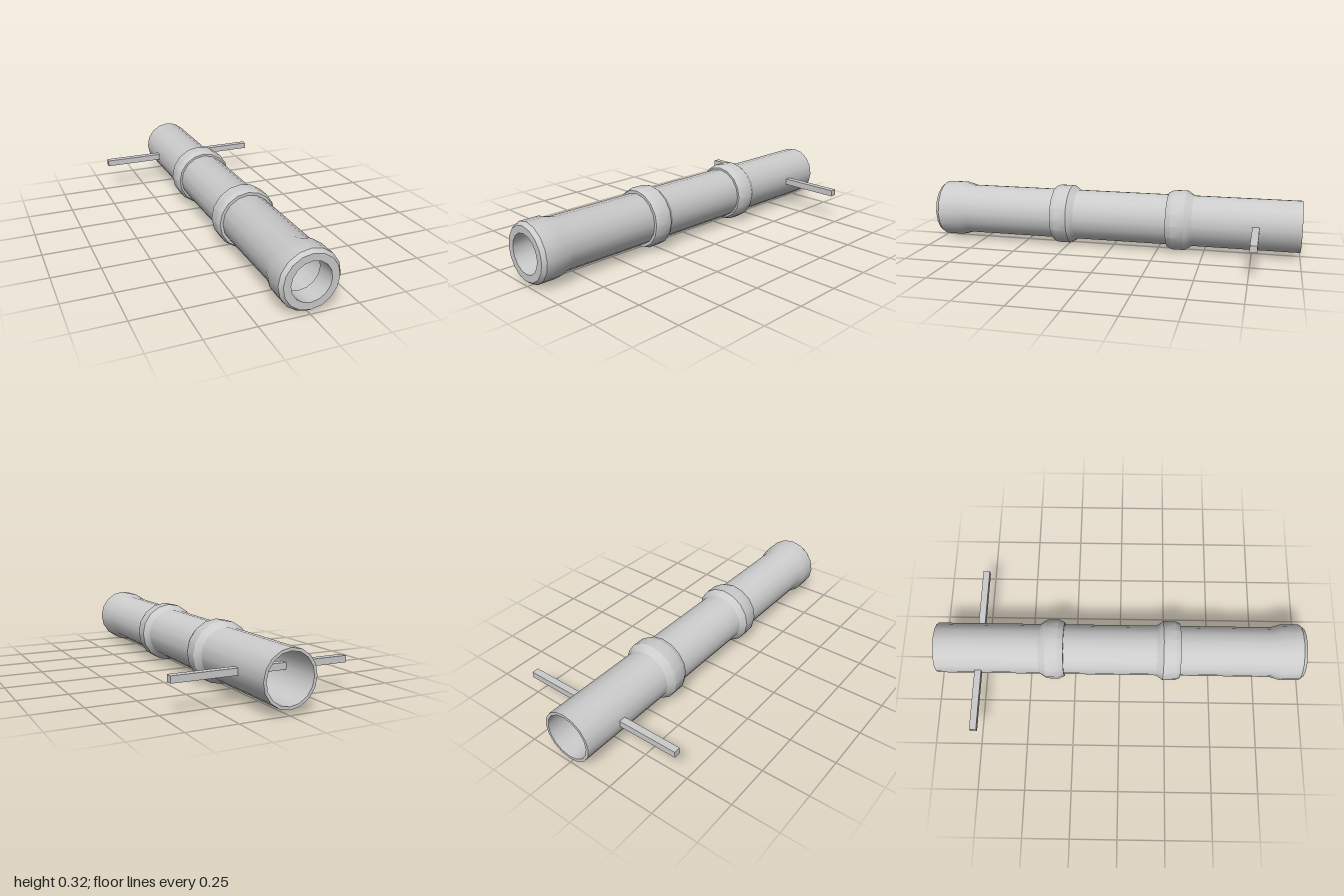
import * as THREE from 'three';
import { toCreasedNormals } from 'three/addons/utils/BufferGeometryUtils.js';

const SIDES = 16;
const AXIS_Y = 0.162;

// Turn a [radius, z] profile about the z axis, keeping sharp rims crisp
function turned(profile) {
  const points = profile.map(([r, z]) => new THREE.Vector2(r, z));
  const geometry = new THREE.LatheGeometry(points, SIDES).rotateX(Math.PI / 2);
  return toCreasedNormals(geometry, 0.5);
}

export function createModel() {
  const model = new THREE.Group();
  const material = new THREE.MeshStandardMaterial({ color: 0xcccccc });

  const add = (name, geometry) => {
    const mesh = new THREE.Mesh(geometry, material);
    mesh.name = name;
    mesh.position.y = AXIS_Y;
    model.add(mesh);
  };

  // Hollow barrel: outer wall from back to front, then the bore back again
  add('barrel', turned([
    [0.137, -1], [0.137, 0.825], [0.153, 0.88], [0.153, 0.98], [0.138, 1],
    [0.101, 1], [0.101, 0.89], [0.122, 0.89], [0.122, -1], [0.137, -1],
  ]));

  // Raised collars with bevelled edges
  add('frontCollar', turned([
    [0.136, 0.2], [0.162, 0.235], [0.162, 0.303], [0.152, 0.328], [0.136, 0.328],
  ]));
  add('rearCollar', turned([
    [0.136, -0.44], [0.162, -0.4], [0.162, -0.333], [0.148, -0.303], [0.136, -0.303],
  ]));

  // Square bar passing crosswise through the barrel
  add('crossBar', new THREE.BoxGeometry(0.926, 0.034, 0.036).translate(0, 0, -0.77));

  return model;
}
